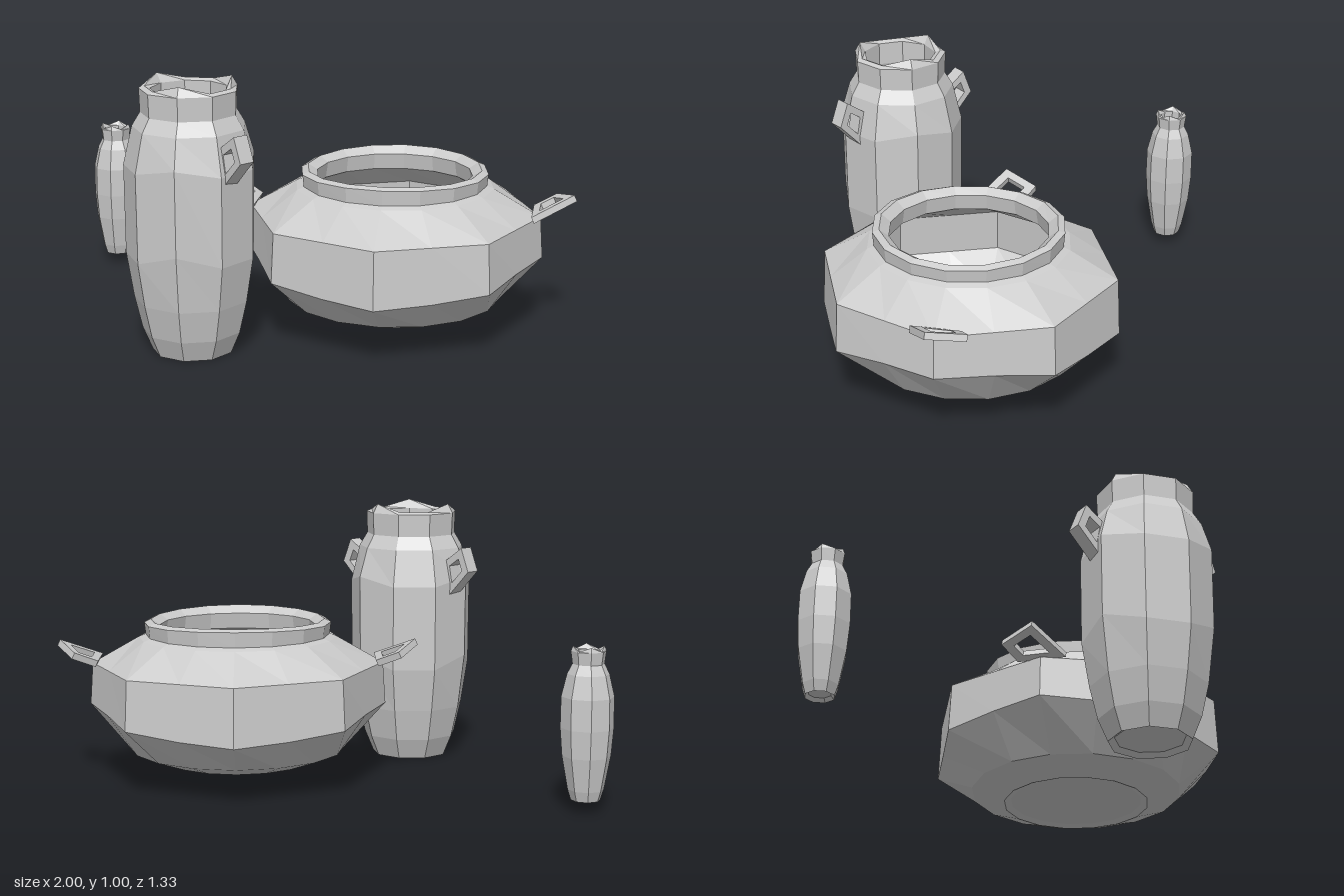
import * as THREE from 'three';

const clay = new THREE.MeshStandardMaterial({ color: 0xcccccc, flatShading: true, side: THREE.DoubleSide });

// Hollow pot: rings of [radius, y, wave height, octagonal?] run from the base, over the lip, to the inner floor.
function pot(name, rings, sides, waveCount) {
  const geo = new THREE.LatheGeometry(rings.map(([r, y]) => new THREE.Vector2(r, y)), sides);
  const pos = geo.attributes.position;
  for (let k = 0; k < pos.count; k++) {
    const [r, y, wave = 0, octagon = false] = rings[k % rings.length];
    const seg = Math.floor(k / rings.length) % sides;
    const phi = (seg / sides) * Math.PI * 2;
    // odd columns fall back onto the straight sides of an octagon
    const rr = octagon && seg % 2 ? r * Math.cos(Math.PI / 8) : r;
    pos.setXYZ(k, rr * Math.sin(phi), y + wave * Math.cos(waveCount * phi), rr * Math.cos(phi));
  }
  const mesh = new THREE.Mesh(geo, clay);
  mesh.name = name;
  return mesh;
}

// Angular loop handle: an outline with a smaller copy of itself cut out.
function handle(name, outline, depth, hole) {
  const pts = outline.map(([x, y]) => new THREE.Vector2(x, y));
  const mid = pts.reduce((a, p) => a.add(p), new THREE.Vector2()).divideScalar(pts.length);
  const shape = new THREE.Shape(pts);
  shape.holes.push(new THREE.Path(pts.map(p => p.clone().lerp(mid, 1 - hole))));
  const geo = new THREE.ExtrudeGeometry(shape, { depth, bevelEnabled: false });
  geo.translate(0, 0, -depth / 2);
  const mesh = new THREE.Mesh(geo, clay);
  mesh.name = name;
  return mesh;
}

function group(name, x, z, ...parts) {
  const g = new THREE.Group();
  g.name = name;
  g.position.set(x, 0, z);
  g.add(...parts);
  return g;
}

export function createModel() {
  const model = new THREE.Group();
  model.name = 'pottery';

  // Wide bowl with an octagonal belly and round collar
  const bowl = group('wideBowl', 0.325, 0, pot('bowlBody', [
    [0, 0.075], [0.25, 0.075], [0.275, 0.065], [0.4, 0.11],
    [0.555, 0.25, -0.03, true], [0.545, 0.435, 0, true], [0.37, 0.535],
    [0.345, 0.545], [0.35, 0.595, 0.006], [0.325, 0.605, 0.004], [0.29, 0.58],
    [0.3, 0.52], [0.49, 0.42, 0, true], [0.5, 0.26, 0, true], [0.36, 0.15], [0, 0.11],
  ], 16, 2));
  for (const s of [1, -1]) {
    const h = handle(s > 0 ? 'bowlHandleLeft' : 'bowlHandleRight',
      [[0, -0.09], [0.165, 0], [0.09, 0.13], [0.0, 0.09]].map(([x, y]) => [x * s, y]), 0.025, 0.55);
    h.geometry.rotateX(-Math.PI / 2);
    h.rotation.z = s * 0.42;
    h.position.set(s * 0.52, 0.445, 0);
    bowl.add(h);
  }

  // Tall vase with a notched rim
  const vase = group('tallVase', -0.35, 0.425, pot('vaseBody', [
    [0, 0.015], [0.125, 0.015], [0.148, 0], [0.182, 0.08], [0.21, 0.2], [0.236, 0.38, 0.03],
    [0.238, 0.7, 0.02], [0.205, 0.83], [0.175, 0.88], [0.178, 0.965], [0.158, 0.982, 0.018],
    [0.138, 0.965], [0.138, 0.88], [0.2, 0.7], [0.2, 0.36], [0.14, 0.08], [0, 0.06],
  ], 9, 3));
  for (const [i, a] of [0.66, 0.76 + Math.PI].entries()) {
    const h = handle(i ? 'vaseHandleRight' : 'vaseHandleLeft',
      [[0.19, 0.78], [0.275, 0.84], [0.31, 0.75], [0.215, 0.65]], 0.06, 0.5);
    h.rotation.y = -a;
    vase.add(h);
  }

  // Small slender jar
  const jar = group('smallJar', -0.905, -0.573, pot('jarBody', [
    [0, 0.055], [0.04, 0.055], [0.052, 0.042], [0.064, 0.08], [0.086, 0.2], [0.094, 0.3],
    [0.093, 0.41], [0.074, 0.49], [0.056, 0.525], [0.062, 0.57], [0.055, 0.58, 0.008],
    [0.042, 0.57], [0.042, 0.52], [0.072, 0.42], [0.072, 0.2], [0.045, 0.08], [0, 0.075],
  ], 8, 4));

  model.add(bowl, vase, jar);
  return model;
}
